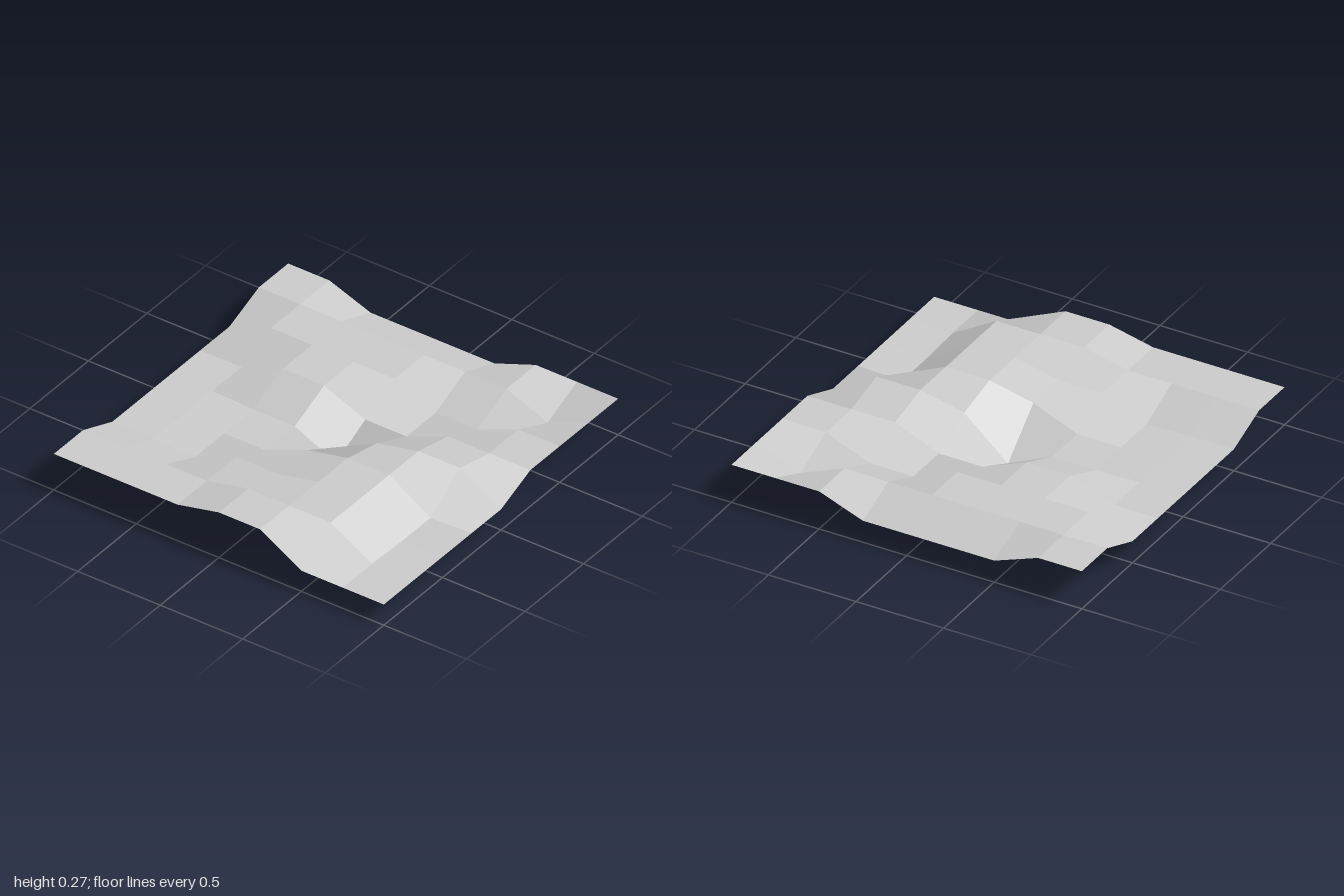
import * as THREE from 'three';

// Height levels of the terrain, and the level at each grid point (rows run back to front, columns from -x to +x)
const LEVELS = [0, 0.115, 0.125, 0.218, 0.273];
const ROWS = [
  '332222333',
  '333333313',
  '233331133',
  '223311333',
  '221103442',
  '221134412',
  '221334412',
  '333344422',
  '333344222',
];
const CELLS = 8;

function gridPoint(col, row) {
  return new THREE.Vector3(
    -1 + (2 * col) / CELLS,
    LEVELS[Number(ROWS[row][col])],
    -1 + (2 * row) / CELLS
  );
}

// Separate four-cornered facets, each with one flat normal
function terrainGeometry() {
  const positions = [], normals = [], index = [];
  for (let row = 0; row < CELLS; row++) {
    for (let col = 0; col < CELLS; col++) {
      const a = gridPoint(col, row);
      const b = gridPoint(col, row + 1);
      const c = gridPoint(col + 1, row + 1);
      const d = gridPoint(col + 1, row);
      const normal = c.clone().sub(a).cross(d.clone().sub(b)).normalize();
      const start = positions.length / 3;
      for (const p of [a, b, c, d]) {
        positions.push(p.x, p.y, p.z);
        normals.push(normal.x, normal.y, normal.z);
      }
      index.push(start, start + 1, start + 3, start + 1, start + 2, start + 3);
    }
  }
  const geometry = new THREE.BufferGeometry();
  geometry.setAttribute('position', new THREE.Float32BufferAttribute(positions, 3));
  geometry.setAttribute('normal', new THREE.Float32BufferAttribute(normals, 3));
  geometry.setIndex(index);
  return geometry;
}

export function createModel() {
  const group = new THREE.Group();
  group.name = 'terrainTile';

  const ground = new THREE.MeshStandardMaterial({ color: 0xcccccc, side: THREE.DoubleSide });
  ground.name = 'light grey ground';

  // Open terrain sheet
  const terrain = new THREE.Mesh(terrainGeometry(), ground);
  terrain.name = 'terrain';
  group.add(terrain);
  return group;
}
